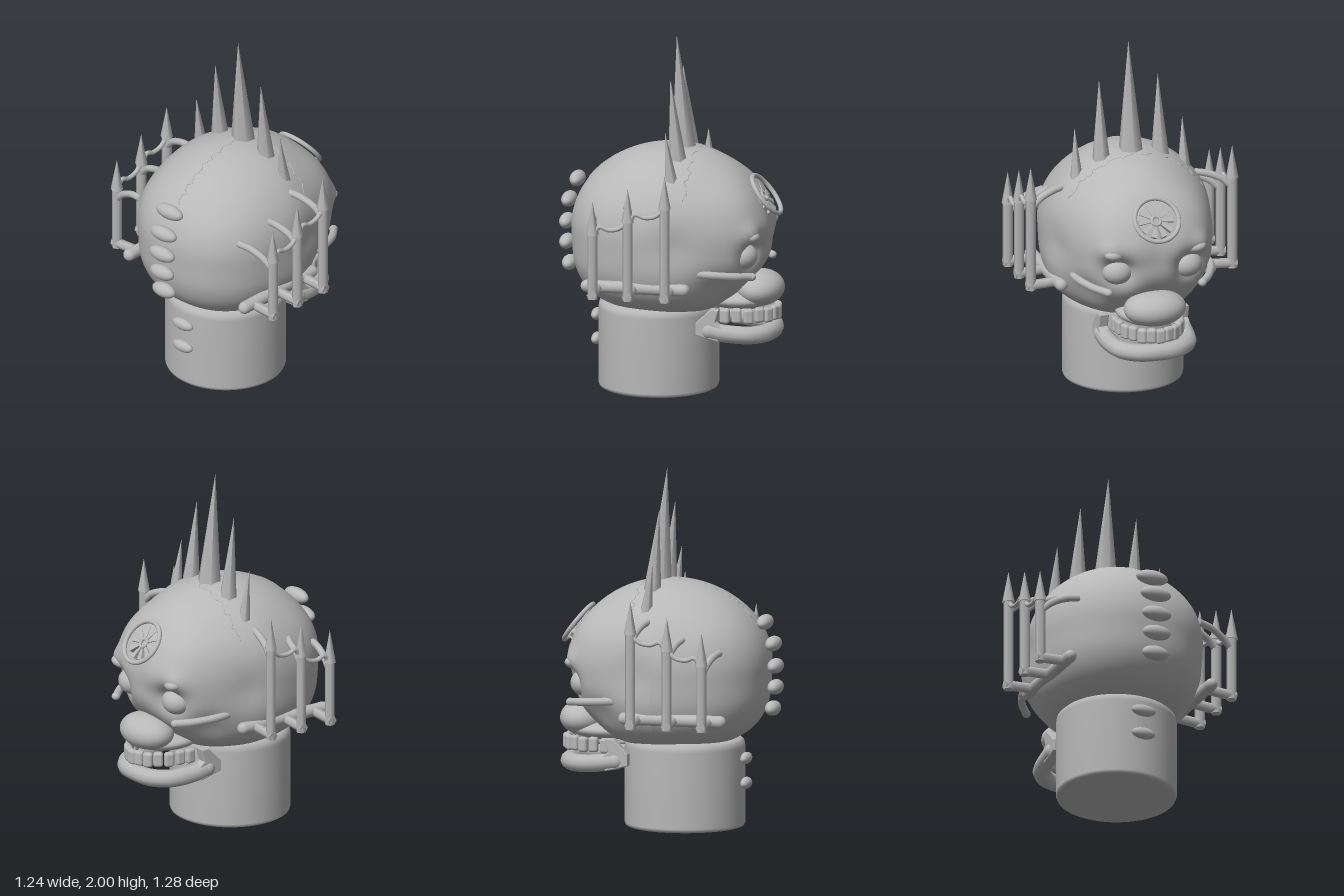
import * as THREE from 'three';
import { RoundedBoxGeometry } from 'three/addons/geometries/RoundedBoxGeometry.js';

const V = (x, y, z) => new THREE.Vector3(x, y, z);
const step = THREE.MathUtils.smoothstep;
const grey = new THREE.MeshStandardMaterial({ color: 0xb8b8b8 });
grey.name = 'plain grey';

function add(parent, name, geometry, position) {
  const mesh = new THREE.Mesh(geometry, grey);
  mesh.name = name;
  if (position) mesh.position.copy(position);
  parent.add(mesh);
  return mesh;
}

// Straight six-sided tapered bar between two points
function bar(parent, name, a, b, ra, rb) {
  const dir = b.clone().sub(a);
  const g = new THREE.CylinderGeometry(rb, ra, dir.length(), 6);
  const mesh = add(parent, name, g, a.clone().add(b).multiplyScalar(0.5));
  mesh.quaternion.setFromUnitVectors(V(0, 1, 0), dir.normalize());
  return mesh;
}

function ball(parent, name, position, rx, ry, rz) {
  const mesh = add(parent, name, new THREE.SphereGeometry(1, 32, 20), position);
  mesh.scale.set(rx, ry, rz);
  return mesh;
}

function tube(parent, name, points, radius, segments = 24) {
  return add(parent, name, new THREE.TubeGeometry(new THREE.CatmullRomCurve3(points), segments, radius, 10));
}

// Soft dents (negative) and bumps (positive), mirrored: x, y, z, radius, amount
const features = [
  [0.22, 0.81, -0.52, 0.09, -0.09],
  [0.26, 0.94, -0.5, 0.06, 0.03],
  [0.12, 0.95, -0.56, 0.09, 0.012],
  [0.46, 0.9, -0.1, 0.12, -0.02],
  [0.38, 0.62, -0.36, 0.13, -0.04],
];

// Skull surface: round on top, fuller below and behind, squarer and narrower in front
function skullPoint(d) {
  const front = step(-d.z, 0, 0.75);
  const back = step(d.z, 0, 0.6);
  const q = 2 + (1.1 * front + 0.3 * back) * (1 - step(d.y, 0.3, 0.95));
  const p = 2 + 1.0 * step(-d.y, 0, 0.4);
  const h = Math.pow(Math.pow(Math.abs(d.x), q) + Math.pow(Math.abs(d.z), q), 1 / q);
  const r = 1 / Math.pow(Math.pow(h, p) + Math.pow(Math.abs(d.y), p), 1 / p);
  const v = V(d.x * r * 0.482 * (1 - 0.14 * front), 0.92 + d.y * r * 0.47, d.z * r * 0.56);
  if (v.z < 0) v.z *= 1 - 0.2 * step(0.92 - v.y, 0.1, 0.42);
  const base = v.clone();
  for (const [x, y, z, radius, amount] of features) {
    const dist2 = (Math.abs(base.x) - x) ** 2 + (base.y - y) ** 2 + (base.z - z) ** 2;
    v.addScaledVector(d, amount * Math.exp(-dist2 / (radius * radius)));
  }
  return v;
}

function buildSkull(parent) {
  const g = new THREE.SphereGeometry(1, 96, 72);
  const pos = g.attributes.position;
  for (let i = 0; i < pos.count; i++) {
    const v = skullPoint(V().fromBufferAttribute(pos, i).normalize());
    pos.setXYZ(i, v.x, v.y, v.z);
  }
  g.computeVertexNormals();
  add(parent, 'skull', g);

  // Faint wavy seams across and along the crown
  const across = [], along = [];
  for (let i = 0; i <= 40; i++) {
    const a = -1.05 + (2.1 * i) / 40;
    const wave = 0.018 * Math.sin(i * 1.3) + 0.014 * Math.sin(i * 2.9);
    across.push(skullPoint(V(Math.sin(a), Math.cos(a), -0.27 + wave).normalize()));
    const b = -0.25 + (1.25 * i) / 40;
    along.push(skullPoint(V(wave, Math.cos(b), Math.sin(b)).normalize()));
  }
  tube(parent, 'crossSeam', across, 0.003, 120);
  tube(parent, 'crownSeam', along, 0.003, 120);
}

function buildFace(parent) {
  ball(parent, 'nose', V(0, 0.588, -0.5), 0.178, 0.1, 0.135);
  ball(parent, 'upperGum', V(0, 0.53, -0.37), 0.18, 0.06, 0.21);
  for (const s of [-1, 1]) {
    ball(parent, 'eye', V(s * 0.203, 0.81, -0.445), 0.088, 0.074, 0.08);
    const brow = ball(parent, 'brow', V(s * 0.235, 0.925, -0.495), 0.065, 0.035, 0.05);
    brow.rotation.set(0, s * 0.45, s * 0.15);
    // Cheekbone under each eye
    const cheek = [V(s * 0.37, 0.74, -0.16), V(s * 0.395, 0.737, -0.27), V(s * 0.345, 0.722, -0.42), V(s * 0.275, 0.71, -0.51)];
    tube(parent, 'cheekbone', cheek, 0.022);
    ball(parent, 'cheekboneEnd', cheek[3], 0.024, 0.022, 0.024);
    // Hinge plate at the back of the jaw
    const shape = new THREE.Shape([[0.19, 0.36], [0.19, 0.42], [0.27, 0.5], [0.31, 0.5], [0.29, 0.43], [0.33, 0.4], [0.31, 0.33]]
      .map(([z, y]) => new THREE.Vector2(z, y)));
    const plate = new THREE.ExtrudeGeometry(shape, { depth: 0.04, bevelSize: 0.006, bevelThickness: 0.008, bevelSegments: 2 });
    plate.rotateY(Math.PI / 2);
    add(parent, 'jawHinge', plate, V(s * 0.235 - 0.02, 0, 0));
  }
  // Row of teeth on an arch
  for (let i = 0; i < 13; i++) {
    const a = ((i - 6) / 6) * 1.65;
    const tooth = add(parent, 'tooth', new RoundedBoxGeometry(0.056, 0.085, 0.042, 3, 0.016),
      V(0.18 * Math.sin(a), 0.455 + 0.004 * (i % 2), -0.355 - 0.245 * Math.cos(a)));
    tooth.rotation.y = -Math.atan2(0.245 * Math.sin(a), 0.18 * Math.cos(a));
  }
  // Lower jaw: horseshoe with a deep chin
  const half = [[0.228, 0.38, -0.26], [0.225, 0.365, -0.35], [0.195, 0.355, -0.48], [0.115, 0.353, -0.555]];
  const path = [...half.map(([x, y, z]) => V(-x, y, z)), V(0, 0.353, -0.575),
    ...half.slice().reverse().map(([x, y, z]) => V(x, y, z))];
  tube(parent, 'lowerJaw', path, 0.05, 60);
  for (const end of [path[0], path[path.length - 1]]) ball(parent, 'jawEnd', end, 0.05, 0.05, 0.05);
}

function buildWheel(parent) {
  const wheel = new THREE.Group();
  wheel.name = 'foreheadWheel';
  wheel.position.set(0, 1.12, -0.535);
  wheel.lookAt(V(0, 1.12 + 0.61, -0.535 - 0.79));
  add(wheel, 'rim', new THREE.TorusGeometry(0.127, 0.013, 12, 48));
  add(wheel, 'hubRing', new THREE.TorusGeometry(0.025, 0.009, 8, 24), V(0, 0, -0.015));
  const petal = new THREE.Shape([[0.03, -0.006], [0.1, -0.016], [0.1, 0.016], [0.03, 0.006]]
    .map(([x, y]) => new THREE.Vector2(x, y)));
  const spoke = new THREE.ExtrudeGeometry(petal, { depth: 0.05, bevelEnabled: false });
  for (let i = 0; i < 10; i++) {
    add(wheel, 'spoke', spoke, V(0, 0, -0.065)).rotation.z = (i / 10) * Math.PI * 2;
  }
  parent.add(wheel);
}

function buildSideCage(parent, s) {
  const cage = new THREE.Group();
  cage.name = s > 0 ? 'leftCage' : 'rightCage';
  // Post z, post top, inner end of the arm
  const posts = [
    { z: -0.08, top: 1.16, end: [0.38, 1.19, -0.035] },
    { z: 0.13, top: 1.075, end: [0.41, 1.105, 0.175] },
    { z: 0.33, top: 0.995, end: [0.37, 1.03, 0.375] },
  ];
  const X = s * 0.59;
  for (const { z, top, end } of posts) {
    bar(cage, 'post', V(X, 0.615, z), V(X, top, z), 0.029, 0.029);
    bar(cage, 'postSpike', V(X, top - 0.01, z), V(X, top + 0.175, z), 0.036, 0.001);
    bar(cage, 'lowerStub', V(s * 0.43, 0.65, z), V(s * 0.615, 0.64, z), 0.028, 0.028);
    const [ex, ey, ez] = end;
    tube(cage, 'upperArm', [V(X, top - 0.07, z), V(s * 0.53, top - 0.015, z + 0.012),
      V(s * 0.45, ey - 0.012, (z + ez) / 2 + 0.006), V(s * ex, ey, ez)], 0.02);
  }
  // Wavy links from post to post
  for (let i = 0; i < 2; i++) {
    const a = posts[i + 1], b = posts[i];
    const at = (t, y) => V(X, y, a.z + (b.z - a.z) * t);
    tube(cage, 'link', [at(0, a.top - 0.03), at(0.2, a.top + 0.035), at(0.45, a.top + 0.02),
      at(0.75, a.top + 0.03), at(1, b.top - 0.01)], 0.013);
  }
  const rail = add(cage, 'lowerRail', new THREE.CapsuleGeometry(0.035, 0.55, 8, 16), V(s * 0.435, 0.652, 0.12));
  rail.rotation.x = Math.PI / 2;
  parent.add(cage);
}

export function createModel() {
  const model = new THREE.Group();
  model.name = 'spikedSkull';
  buildSkull(model);
  buildFace(model);
  buildWheel(model);

  // Neck with softened edges
  const outline = [[0, 0], [0.32, 0], [0.332, 0.006], [0.338, 0.022], [0.338, 0.45], [0.332, 0.48], [0.315, 0.495], [0.2, 0.52]];
  const neck = add(model, 'neck', new THREE.LatheGeometry(outline.map(([r, y]) => new THREE.Vector2(r, y)), 64), V(0, 0, 0.078));
  neck.scale.z = 0.995;

  // Crest of tall spikes
  for (const [x, base, tip, r] of [[0, 1.31, 2, 0.075], [0.172, 1.27, 1.79, 0.058], [0.315, 1.16, 1.52, 0.046]]) {
    for (const s of x ? [-1, 1] : [1]) {
      bar(model, 'crestSpike', V(s * x, base, -0.07), V(s * x, tip, -0.025), r, 0.001);
    }
  }

  // Studs down the spine
  for (const [y, z, w] of [[1.16, 0.54, 0.096], [1.04, 0.588, 0.092], [0.915, 0.6, 0.088], [0.797, 0.6, 0.083],
    [0.677, 0.585, 0.08], [0.39, 0.43, 0.073], [0.25, 0.43, 0.07]]) {
    ball(model, 'spineStud', V(0, y, z), w, y > 0.5 ? 0.042 : 0.033, y > 0.5 ? 0.042 : 0.03);
  }

  for (const s of [-1, 1]) buildSideCage(model, s);
  return model;
}
